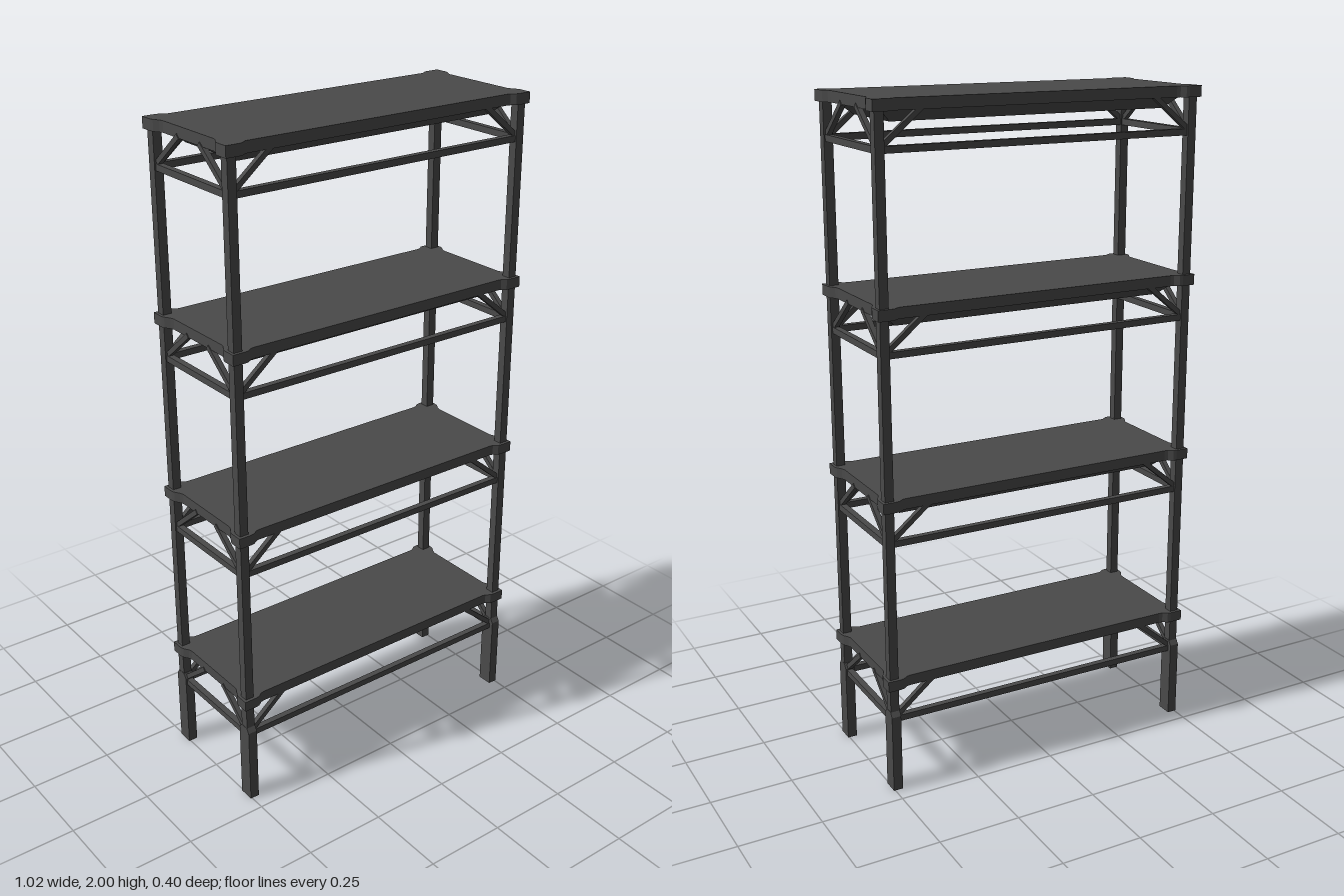
import * as THREE from 'three';

const metal = new THREE.MeshStandardMaterial({ color: 0x4a4a4a });
metal.name = 'dark grey metal';

const POST_X = 0.49, POST_Z = 0.177, POST = 0.027;
const SHELF_TOPS = [0.357, 0.905, 1.452, 2.0];
const SLAB = 0.032;
const SIGNS = [-1, 1];

function add(parent, geometry, name, x = 0, y = 0, z = 0) {
  const mesh = new THREE.Mesh(geometry, metal);
  mesh.name = name;
  mesh.position.set(x, y, z);
  parent.add(mesh);
  return mesh;
}

// Square bar between two points
function bar(parent, a, b, size, name) {
  const dir = b.clone().sub(a);
  const mid = a.clone().add(b).multiplyScalar(0.5);
  const mesh = add(parent, new THREE.BoxGeometry(size, size, dir.length()), name, mid.x, mid.y, mid.z);
  mesh.lookAt(b);
}

// Slab outline with flared corners, mirrored from one quarter
function slabGeometry() {
  const quarter = [
    [0.495, 0.122], [0.499, 0.134], [0.509, 0.15], [0.512, 0.16], [0.512, 0.2],
    [0.472, 0.2], [0.462, 0.198], [0.448, 0.188], [0.437, 0.186],
  ];
  const back = quarter.slice().reverse();
  const points = [
    ...quarter,
    ...back.map(([x, z]) => [-x, z]),
    ...quarter.map(([x, z]) => [-x, -z]),
    ...back.map(([x, z]) => [x, -z]),
  ].map(([x, z]) => new THREE.Vector2(x, z));
  const geometry = new THREE.ExtrudeGeometry(new THREE.Shape(points), { depth: SLAB, bevelEnabled: false });
  return geometry.rotateX(-Math.PI / 2);
}

// Tapered tray under the slab
function trayGeometry() {
  const geometry = new THREE.BoxGeometry(0.94, 0.034, 0.306);
  const p = geometry.attributes.position;
  for (let i = 0; i < p.count; i++) {
    if (p.getY(i) < 0) {
      p.setX(i, Math.sign(p.getX(i)) * 0.43);
      p.setZ(i, Math.sign(p.getZ(i)) * 0.122);
    }
  }
  geometry.computeVertexNormals();
  return geometry;
}

// Wide foot with chamfered upper corners
function footGeometry() {
  const shape = new THREE.Shape();
  shape.moveTo(-0.024, 0);
  shape.lineTo(0.024, 0);
  shape.lineTo(0.024, 0.24);
  shape.lineTo(0.014, 0.255);
  shape.lineTo(-0.014, 0.255);
  shape.lineTo(-0.024, 0.24);
  shape.closePath();
  const geometry = new THREE.ExtrudeGeometry(shape, { depth: 0.029, bevelEnabled: false });
  return geometry.translate(0, 0, -0.0145).rotateY(Math.PI / 2);
}

export function createModel() {
  const model = new THREE.Group();
  model.name = 'shelvingUnit';
  const slab = slabGeometry(), tray = trayGeometry(), foot = footGeometry();
  const V = (x, y, z) => new THREE.Vector3(x, y, z);

  // Corner posts and feet
  for (const sx of SIGNS) for (const sz of SIGNS) {
    const top = 2 - SLAB / 2;
    add(model, new THREE.BoxGeometry(POST, top - 0.1, POST), 'post', sx * POST_X, (top + 0.1) / 2, sz * POST_Z);
    add(model, foot, 'foot', sx * POST_X, 0, sz * 0.176);
  }

  for (const top of SHELF_TOPS) {
    const shelf = new THREE.Group();
    shelf.name = 'shelf';
    shelf.position.y = top;
    model.add(shelf);
    add(shelf, slab, 'shelfSlab', 0, -SLAB, 0);
    add(shelf, tray, 'shelfTray', 0, -SLAB - 0.017, 0);

    // Rails below the slab
    for (const s of SIGNS) {
      add(shelf, new THREE.BoxGeometry(2 * POST_X, 0.019, 0.019), 'longRail', 0, -0.131, s * POST_Z);
      add(shelf, new THREE.BoxGeometry(0.019, 0.019, 2 * POST_Z), 'shortRail', s * POST_X, -0.131, 0);
    }

    // Diagonal braces at each corner
    for (const sx of SIGNS) for (const sz of SIGNS) {
      const x = sx * POST_X, z = sz * POST_Z;
      bar(model, V(x, top - 0.13, z), V(sx * 0.365, top - 0.027, z), 0.015, 'longBrace');
      bar(model, V(x, top - 0.13, z), V(x, top - 0.027, sz * 0.05), 0.015, 'shortBrace');
    }
  }
  return model;
}
